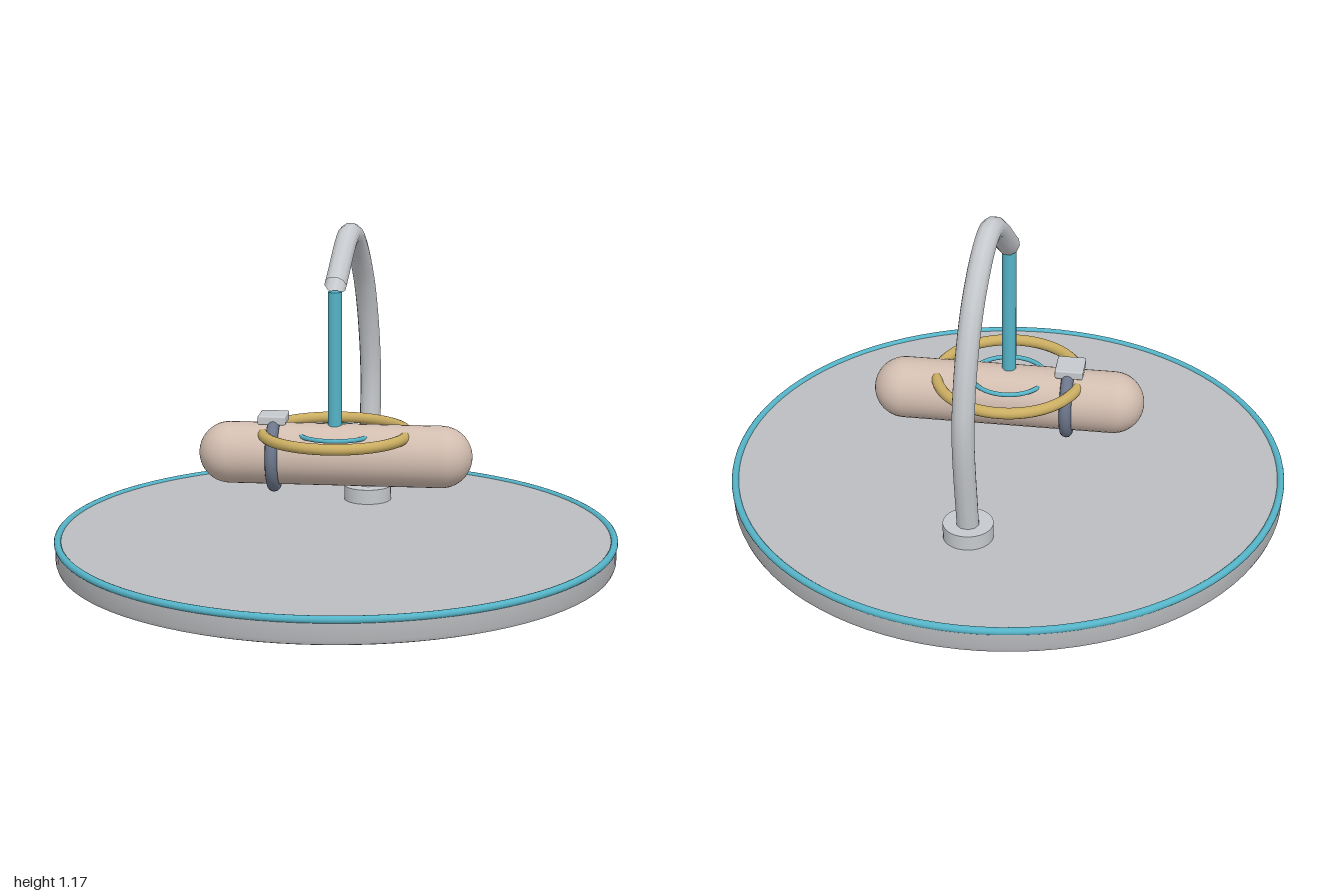
import * as THREE from 'three';
import { RoundedBoxGeometry } from 'three/addons/geometries/RoundedBoxGeometry.js';
import { toCreasedNormals } from 'three/addons/utils/BufferGeometryUtils.js';

const material = (name, color, extra = {}) => {
  const m = new THREE.MeshStandardMaterial({ color, ...extra });
  m.name = name;
  return m;
};

export function createModel() {
  const model = new THREE.Group();
  const grey = material('basin grey', 0xbbbdc0);
  const chrome = material('chrome', 0xc6c9cd, { side: THREE.DoubleSide });
  const teal = material('water teal', 0x55b4c8);
  const skin = material('skin', 0xd2bdb0);
  const slate = material('strap slate', 0x6d778c);
  const gold = material('gold', 0xcbae62);

  const add = (name, geometry, mat, x = 0, y = 0, z = 0, parent = model) => {
    const mesh = new THREE.Mesh(geometry, mat);
    mesh.name = name;
    mesh.position.set(x, y, z);
    parent.add(mesh);
    return mesh;
  };
  const flatRing = (name, radius, tube, mat, y, z) => {
    const g = new THREE.TorusGeometry(radius, tube, 12, 96).rotateX(Math.PI / 2);
    return add(name, g, mat, 0, y, z);
  };

  // Round base with a slightly softened lower edge
  const profile = [[0, 0], [0.975, 0], [0.99, 0.006], [0.995, 0.02], [0.995, 0.09], [0, 0.09]]
    .map(([r, y]) => new THREE.Vector2(r, y));
  add('base', toCreasedNormals(new THREE.LatheGeometry(profile, 96), 0.7), grey);
  flatRing('baseRim', 0.987, 0.013, teal, 0.087, 0);

  // Curved tap with a collar at its foot
  add('tapCollar', new THREE.CylinderGeometry(0.088, 0.088, 0.055, 32), chrome, 0, 0.117, -0.475);
  const path = new THREE.CatmullRomCurve3([
    [0.1, -0.475], [0.6, -0.515], [0.98, -0.385], [1.135, -0.2], [0.982, 0.008],
  ].map(([y, z]) => new THREE.Vector3(0, y, z)));
  add('tapSpout', new THREE.TubeGeometry(path, 48, 0.04, 10, false), chrome);

  // Falling water and the ripple where it lands
  add('waterStream', new THREE.CylinderGeometry(0.025, 0.025, 0.5, 16), teal, 0, 0.71, 0.015);
  flatRing('waterRipple', 0.132, 0.008, teal, 0.455, 0.01);
  flatRing('goldRing', 0.256, 0.02, gold, 0.455, 0.01);

  // Forearm, turned a little, wearing a wristwatch
  const arm = new THREE.Group();
  arm.name = 'arm';
  arm.position.set(0, 0.377, 0.01);
  arm.rotation.y = 0.15;
  model.add(arm);
  add('forearm', new THREE.CapsuleGeometry(0.11, 0.75, 12, 32).rotateZ(Math.PI / 2), skin, 0, 0, 0, arm);
  add('watchStrap', new THREE.TorusGeometry(0.116, 0.022, 12, 48).rotateY(Math.PI / 2), slate, -0.215, 0, 0, arm);
  add('watchCase', new RoundedBoxGeometry(0.1, 0.032, 0.11, 2, 0.006), chrome, -0.22, 0.128, 0, arm);

  return model;
}
